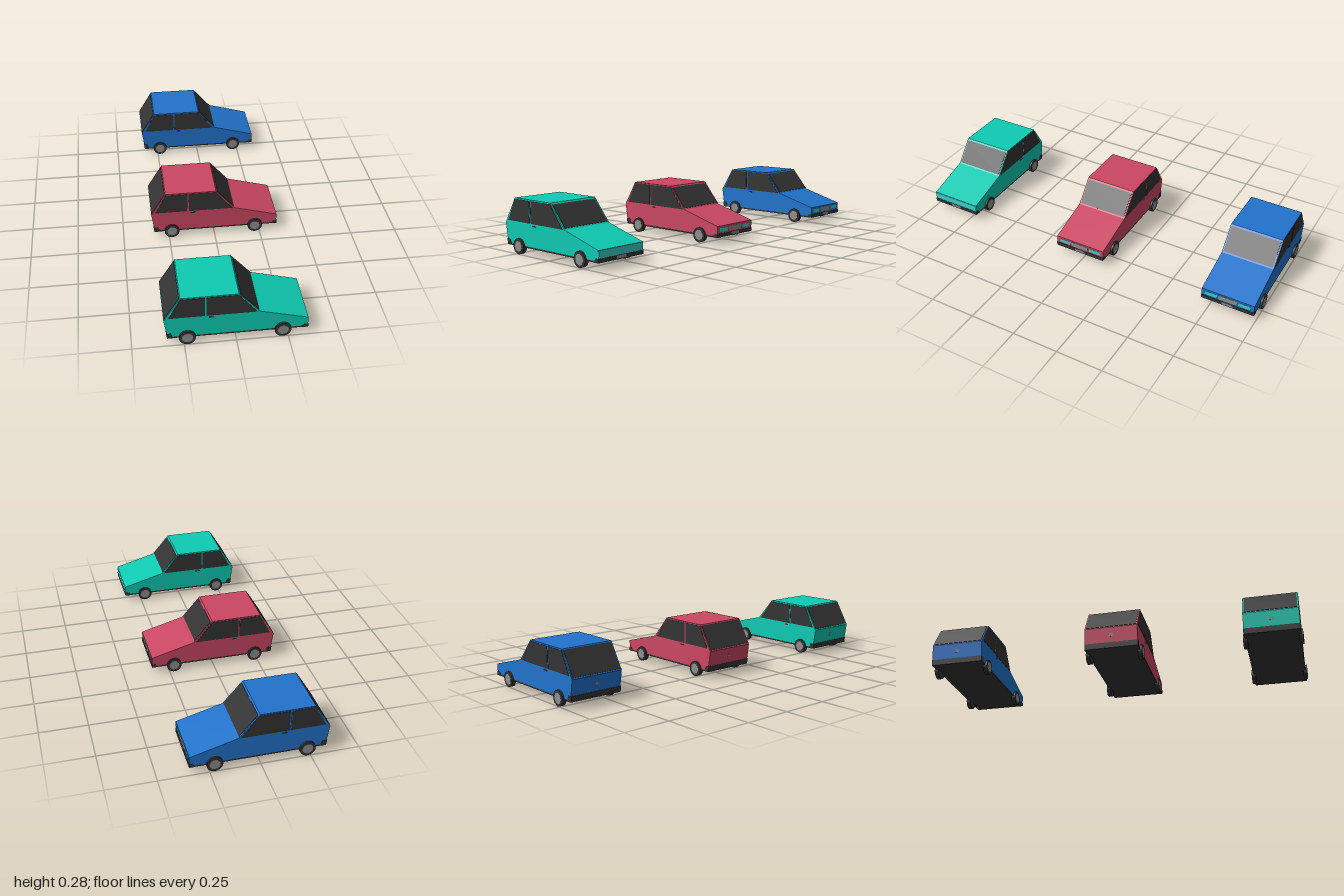
import * as THREE from 'three';

const mat = (name, color) => Object.assign(new THREE.MeshStandardMaterial({ color }), { name });

const HALF = 0.1425; // half the body width
// Side profile corners, nose towards +x
const P = {
  sillBack: [-0.329, 0.046], tail: [-0.345, 0.15], roofBack: [-0.265, 0.281],
  roofFront: [0.008, 0.281], cowl: [0.11, 0.163], nose: [0.345, 0.098], sillFront: [0.345, 0.046],
};

// Extrudes a side outline to a given width, centred on z
function slab(points, width) {
  const shape = new THREE.Shape(points.map(p => new THREE.Vector2(...p)));
  const geo = new THREE.ExtrudeGeometry(shape, { depth: width, bevelEnabled: false });
  return geo.translate(0, 0, -width / 2);
}

export function createModel() {
  const teal = mat('tealPaint', 0x0ecbb3);
  const red = mat('redPaint', 0xcb4763);
  const blue = mat('bluePaint', 0x2173cc);
  const dark = mat('darkTrim', 0x343434);
  const grey = mat('greyMetal', 0x8e8e8e);
  const lamp = mat('lampGlass', 0x3cd0cc);

  function car(name, paint, wideLamp) {
    const g = new THREE.Group();
    g.name = name;
    const add = (part, geo, material, x = 0, y = 0, z = 0) => {
      const m = new THREE.Mesh(geo, material);
      m.name = part;
      m.position.set(x, y, z);
      g.add(m);
      return m;
    };
    // Thin plate lying on the sloping line a-b, covering fractions t0..t1 of it
    const panel = (part, a, b, t0, t1, width, material) => {
      const dx = b[0] - a[0], dy = b[1] - a[1], t = (t0 + t1) / 2;
      const geo = new THREE.BoxGeometry(Math.hypot(dx, dy) * (t1 - t0), 0.004, width);
      add(part, geo, material, a[0] + dx * t, a[1] + dy * t).rotation.z = Math.atan2(dy, dx);
    };

    // Body shell and dark underside
    add('body', slab(Object.values(P), HALF * 2), paint);
    add('underbody', slab([[-0.328, 0.038], [0.345, 0.038], [0.345, 0.046], [-0.329, 0.046]], HALF * 2), dark);

    // Bumpers wrap slightly round the corners
    add('frontBumper', slab([[0.32, 0.038], [0.347, 0.038], [0.347, 0.058], [0.328, 0.058], [0.32, 0.048]], HALF * 2 + 0.003), dark);
    add('rearBumper', slab([[-0.331, 0.038], [-0.305, 0.038], [-0.305, 0.05], [-0.312, 0.068], [-0.335, 0.068]], HALF * 2 + 0.003), dark);

    // Windscreen and rear window
    panel('windscreen', P.roofFront, P.cowl, 0.07, 0.95, 0.27, dark);
    panel('rearWindow', P.tail, P.roofBack, 0.04, 0.96, 0.272, dark);

    // Side windows, pillar seam and door handles
    const rearGlass = slab([[-0.322, 0.163], [-0.15, 0.163], [-0.15, 0.275], [-0.265, 0.275]], 0.003);
    const frontGlass = slab([[-0.14, 0.163], [0.098, 0.163], [0.009, 0.275], [-0.14, 0.275]], 0.003);
    for (const s of [-1, 1]) {
      add('rearSideWindow', rearGlass, dark, 0, 0, s * HALF);
      add('frontSideWindow', frontGlass, dark, 0, 0, s * HALF);
      add('doorSeam', new THREE.BoxGeometry(0.002, 0.105, 0.002), dark, -0.145, 0.219, s * HALF);
      add('doorHandle', new THREE.BoxGeometry(0.026, 0.006, 0.003), dark, -0.118, 0.152, s * HALF);
    }

    // Front face: lamps, grille and plate
    if (wideLamp) {
      add('lampStrip', new THREE.BoxGeometry(0.003, 0.036, 0.28), lamp, 0.345, 0.077);
    } else {
      add('grille', new THREE.BoxGeometry(0.003, 0.026, 0.1), grey, 0.345, 0.077);
      for (const s of [-1, 1]) {
        add('headlight', new THREE.BoxGeometry(0.003, 0.02, 0.064), lamp, 0.345, 0.077, s * 0.09);
      }
    }
    add('frontPlate', new THREE.BoxGeometry(0.003, 0.014, 0.06), grey, 0.3475, 0.05);

    // Tailgate latch
    panel('tailgateLatch', P.sillBack, P.tail, 0.52, 0.68, 0.018, grey);

    // Wheels with hub caps
    const tyre = new THREE.CylinderGeometry(0.04, 0.04, 0.022, 32).rotateX(Math.PI / 2);
    const hub = new THREE.CylinderGeometry(0.027, 0.027, 0.004, 24).rotateX(Math.PI / 2);
    for (const x of [-0.235, 0.224]) {
      for (const s of [-1, 1]) {
        add('tyre', tyre, dark, x, 0.04, s * 0.141);
        add('hubCap', hub, grey, x, 0.04, s * 0.151);
      }
    }
    return g;
  }

  const root = new THREE.Group();
  root.name = 'cars';
  [['tealCar', teal, 0.847, true], ['redCar', red, 0.0145, false], ['blueCar', blue, -0.847, false]]
    .forEach(([name, paint, z, wide]) => {
      const c = car(name, paint, wide);
      c.position.z = z;
      root.add(c);
    });
  return root;
}
